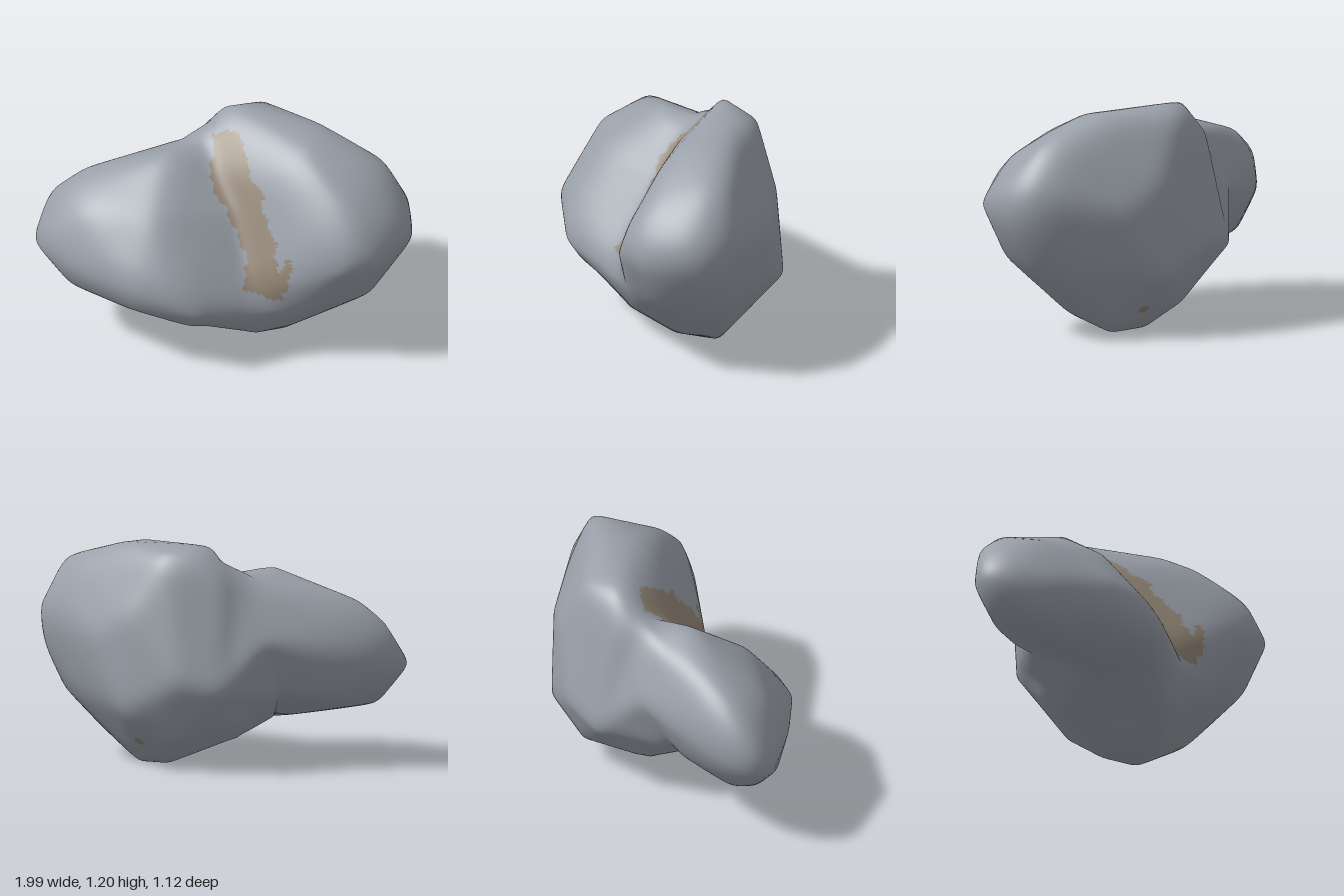
import * as THREE from 'three';
import { mergeVertices } from 'three/addons/utils/BufferGeometryUtils.js';
import { ConvexGeometry } from 'three/addons/geometries/ConvexGeometry.js';

const rock = new THREE.MeshStandardMaterial({ color: 0x9aa0a9 });
rock.name = 'grey rock';
const dust = new THREE.MeshStandardMaterial({ color: 0x948777 });
dust.name = 'tan dust';

// Corner points of the two lobes and of the saddle that joins them
const bigLobe = [
  [-0.08, 1.2, -0.27], [0.45, 1.18, -0.25], [0.4, 1.16, -0.02], [0.1, 1.15, -0.43], [0.81, 1.07, -0.16],
  [0.5, 1.07, 0.13], [-0.2, 1.02, -0.33], [-0.22, 0.45, -0.48], [-0.01, 0.5, -0.56], [0.3, 0.84, -0.51],
  [0.3, 0.33, -0.55], [0.53, 0.7, -0.46], [0.93, 0.8, -0.22], [1.0, 0.79, 0.03], [0.99, 0.65, -0.06],
  [0.88, 0.7, 0.27], [0.67, 0.68, 0.37], [0.7, 0.85, 0.32], [0.72, 0.95, 0.2], [0.92, 0.54, -0.15],
  [0.83, 0.36, -0.15], [0.8, 0.42, 0.17],
  [0.6, 0.13, -0.1], [0.37, 0, -0.2], [0.18, 0.01, -0.25], [0.3, 0.02, 0.03], [0.1, 0.16, -0.44],
  [-0.17, 0.16, -0.15], [0.2, 0.13, 0.25], [0.5, 0.35, 0.28], [0.4, 0.45, 0.31],
  [-0.25, 0.25, -0.25], [-0.1, 0.3, 0.25], [-0.13, 0.95, -0.06],
];
const smallLobe = [
  [-1, 0.55, 0.1], [-1, 0.55, 0.25], [-0.94, 0.79, 0.07], [-0.86, 0.6, -0.03], [-0.79, 0.91, 0.04],
  [-0.83, 0.33, 0.2], [-0.82, 0.35, 0.07], [-0.78, 0.37, 0.34], [-0.58, 0.27, 0.3], [-0.67, 0.55, 0.45],
  [-0.7, 0.82, 0.3], [-0.4, 0.55, 0.56], [-0.4, 0.38, 0.52], [-0.07, 0.42, 0.56], [-0.15, 0.52, 0.55],
  [-0.1, 0.29, 0.48], [-0.3, 0.85, 0.33], [-0.3, 1.06, 0.02], [-0.3, 1.0, -0.2], [-0.56, 0.65, -0.2],
  [-0.55, 0.4, -0.1], [-0.4, 0.7, -0.29], [-0.25, 0.22, 0.2], [0.23, 0.36, 0.35], [0.2, 0.25, 0.32],
  [-0.1, 0.9, -0.05], [0.08, 0.78, 0.07], [-0.12, 1.04, -0.17], [0.1, 0.7, -0.2], [0.1, 0.4, -0.2],
];
const saddle = [
  [-0.4, 0.7, -0.29], [-0.28, 1.03, -0.17], [-0.1, 1.14, -0.28], [-0.22, 0.45, -0.48], [-0.42, 0.4, -0.17],
  [-0.07, 1.08, -0.16], [-0.08, 0.92, -0.08], [0.2, 0.55, 0.2], [-0.28, 0.24, 0.1], [-0.17, 0.16, -0.15],
  [-0.08, 0.29, 0.46], [0.2, 0.13, 0.25], [0.4, 0.38, 0.31], [0.24, 0.34, 0.35], [0.1, 0.2, -0.44],
];
const centre = new THREE.Vector3(0, 0.6, -0.06);

// Dusty band along the neck, outlined in the front plane, and two flecks below
const band = [
  [-0.107, 1.08], [-0.05, 1.12], [0.02, 1.13], [0.08, 1.08], [0.14, 0.97], [0.21, 0.93], [0.22, 0.84],
  [0.28, 0.76], [0.315, 0.7], [0.32, 0.6], [0.34, 0.56], [0.38, 0.66], [0.42, 0.66], [0.4, 0.52],
  [0.36, 0.4], [0.28, 0.41], [0.15, 0.46], [0.16, 0.58], [0.03, 0.785], [-0.09, 0.92],
];
const flecks = [[0.56, 0.11, -0.09], [0.3, 0.13, -0.375]];

// Face planes of a hull, measured from the neck centre
function hullPlanes(points) {
  const pos = new ConvexGeometry(points.map((p) => new THREE.Vector3(...p).sub(centre))).attributes.position;
  const planes = [];
  for (let i = 0; i < pos.count; i += 3) {
    const [a, b, c] = [0, 1, 2].map((k) => new THREE.Vector3().fromBufferAttribute(pos, i + k));
    planes.push(new THREE.Plane().setFromCoplanarPoints(a, b, c));
  }
  return planes;
}

// Distance from the centre to the hull along a direction
function reach(planes, dir) {
  let r = 10;
  for (const p of planes) {
    const d = p.normal.dot(dir);
    if (d > 1e-5) r = Math.min(r, -p.constant / d);
  }
  return r;
}

// Maximum with a rounded transition
function smoothMax(a, b, blend) {
  const h = Math.max(blend - Math.abs(a - b), 0) / blend;
  return Math.max(a, b) + h * h * blend / 4;
}

// Average an attribute of every vertex with that of its neighbours
function relax(geo, name, passes) {
  const idx = geo.index.array, arr = geo.attributes[name].array;
  for (let n = 0; n < passes; n++) {
    const sum = new Float32Array(arr.length), count = new Float32Array(arr.length / 3);
    for (let i = 0; i < idx.length; i++) {
      const a = idx[i], b = idx[i % 3 === 2 ? i - 2 : i + 1];
      for (let k = 0; k < 3; k++) sum[a * 3 + k] += arr[b * 3 + k];
      count[a]++;
    }
    for (let i = 0; i < arr.length; i++) arr[i] = 0.4 * arr[i] + 0.6 * sum[i] / count[Math.floor(i / 3)];
  }
}

function insideBand(x, y) {
  let inside = false;
  band.forEach(([ax, ay], i) => {
    const [bx, by] = band[(i + 1) % band.length];
    if ((ay > y) !== (by > y) && x < ax + (bx - ax) * (y - ay) / (by - ay)) inside = !inside;
  });
  return inside;
}

export function createModel() {
  let geo = new THREE.IcosahedronGeometry(1, 44);
  geo.deleteAttribute('normal');
  geo.deleteAttribute('uv');
  geo = mergeVertices(geo, 1e-4);

  // Push a sphere out to the blended union of the hulls
  const pos = geo.attributes.position, dir = new THREE.Vector3();
  const [big, small, neck] = [bigLobe, smallLobe, saddle].map(hullPlanes);
  for (let i = 0; i < pos.count; i++) {
    dir.fromBufferAttribute(pos, i).normalize();
    const lobes = smoothMax(reach(big, dir), reach(small, dir), 0.04);
    dir.multiplyScalar(smoothMax(lobes, reach(neck, dir), 0.02) + 0.005).add(centre);
    pos.setXYZ(i, dir.x, dir.y, dir.z);
  }
  relax(geo, 'position', 3);

  // Soft shading across the facets
  geo.computeVertexNormals();
  relax(geo, 'normal', 35);
  geo.normalizeNormals();

  // Stand it on the ground, centred
  geo.computeBoundingBox();
  const { min, max } = geo.boundingBox;
  geo.translate(-(min.x + max.x) / 2, -min.y, -(min.z + max.z) / 2);

  // Sort the faces into plain rock and dust
  const idx = geo.index.array, rockFaces = [], dustFaces = [];
  for (let i = 0; i < idx.length; i += 3) {
    const f = [idx[i], idx[i + 1], idx[i + 2]];
    const [x, y, z] = ['getX', 'getY', 'getZ'].map((get) => f.reduce((s, v) => s + pos[get](v), 0) / 3);
    const ragged = 0.008 * Math.sin(y * 60) + 0.006 * Math.sin(y * 130);
    const dusty = (z > 0.65 * x - 0.25 && insideBand(x + ragged, y))
      || flecks.some((p) => Math.hypot(x - p[0], y - p[1], z - p[2]) < 0.032);
    (dusty ? dustFaces : rockFaces).push(...f);
  }
  geo.setIndex([...rockFaces, ...dustFaces]);
  geo.addGroup(0, rockFaces.length, 0);
  geo.addGroup(rockFaces.length, dustFaces.length, 1);

  const body = new THREE.Mesh(geo, [rock, dust]);
  body.name = 'twoLobedRock';
  const group = new THREE.Group();
  group.name = 'asteroid';
  group.add(body);
  return group;
}
